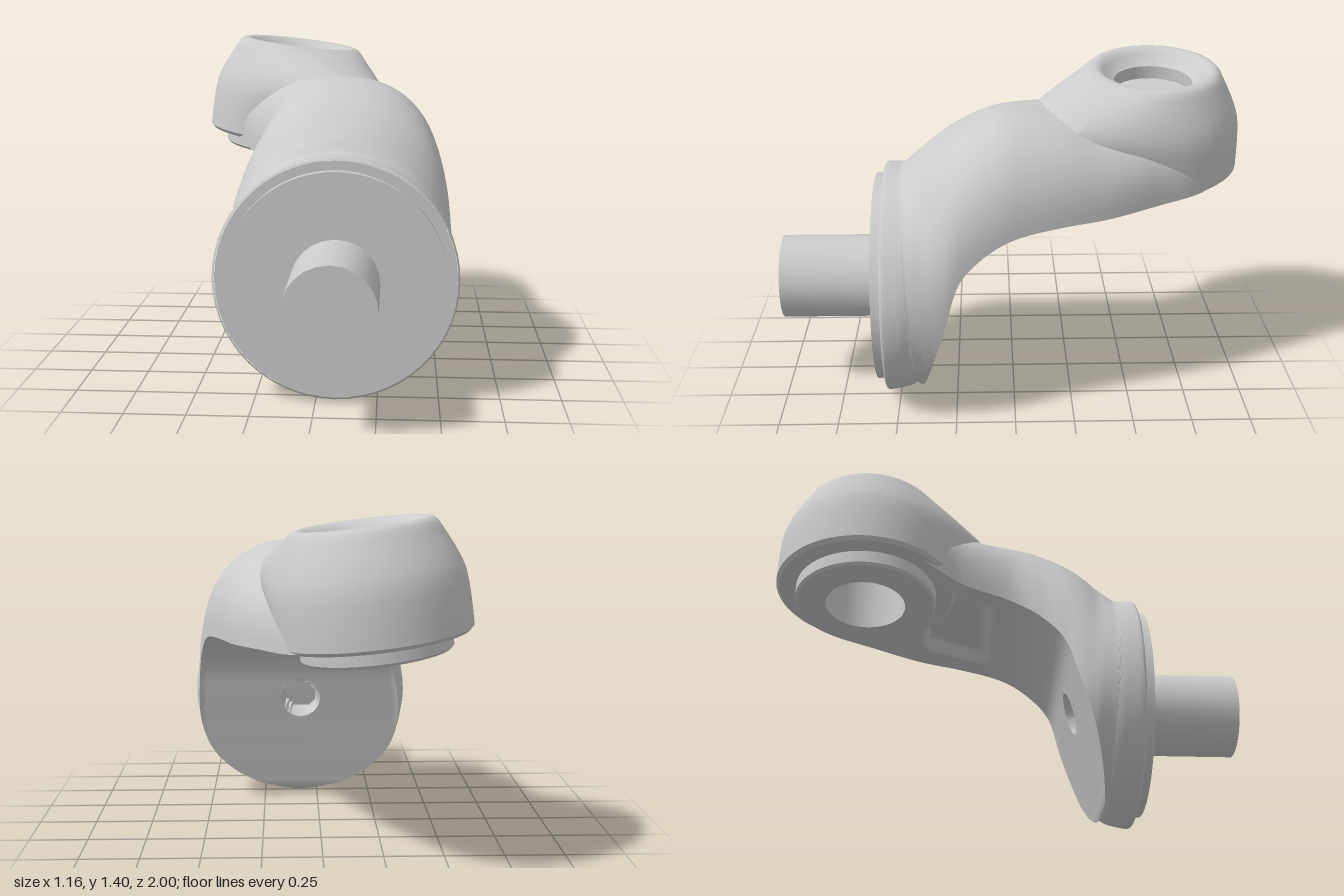
import * as THREE from 'three';
import { toCreasedNormals } from 'three/addons/utils/BufferGeometryUtils.js';

const material = new THREE.MeshStandardMaterial({ color: 0xcccccc });
const { smoothstep: smooth, clamp } = THREE.MathUtils;

function addMesh(parent, name, geometry, crease = 0.6) {
  const mesh = new THREE.Mesh(toCreasedNormals(geometry, crease), material);
  mesh.name = name;
  parent.add(mesh);
  return mesh;
}

// Arm sections: inner z, inner y, outer z, outer y, left x, right x,
// height of the widest point (fraction), sideways tilt
const SECTIONS = [
  [0.55, 0.01, 0.55, 0.99, -0.41, 0.57, 0.5, 0],
  [0.535, 0.0, 0.54, 1.0, -0.42, 0.577, 0.5, 0],
  [0.46, 0.015, 0.5, 1.0, -0.417, 0.575, 0.5, 0],
  [0.42, 0.035, 0.475, 1.0, -0.412, 0.57, 0.5, 0],
  [0.405, 0.06, 0.465, 1.005, -0.409, 0.567, 0.481, 0],
  [0.394, 0.1, 0.455, 1.01, -0.407, 0.566, 0.456, 0],
  [0.372, 0.18, 0.44, 1.025, -0.404, 0.564, 0.396, 0],
  [0.34, 0.3, 0.41, 1.055, -0.398, 0.56, 0.285, 0],
  [0.285, 0.5, 0.34, 1.11, -0.378, 0.552, 0.1, 0],
  [0.23, 0.67, 0.25, 1.175, -0.34, 0.54, 0.03, 0],
  [0.13, 0.79, 0.12, 1.25, -0.29, 0.52, 0, 0.03],
  [0.0, 0.87, 0.0, 1.28, -0.27, 0.49, 0, 0.05],
  [-0.2, 0.9, -0.2, 1.265, -0.34, 0.43, 0, 0.06],
  [-0.4, 0.935, -0.4, 1.24, -0.46, 0.355, 0, 0.12],
  [-0.6, 0.935, -0.6, 1.22, -0.47, 0.25, 0, 0.12],
  [-0.8, 0.935, -0.8, 1.18, -0.4, 0.135, 0, 0.12],
  [-0.93, 0.94, -0.93, 1.1, -0.3, -0.03, 0, 0.12],
];

// Smooth interpolation through the section table
function sectionAt(t) {
  const last = SECTIONS.length - 1;
  const i = Math.min(Math.floor(t), last - 1), f = t - i;
  const row = (n) => SECTIONS[clamp(n, 0, last)];
  const [a, b, c, d] = [row(i - 1), row(i), row(i + 1), row(i + 2)];
  return b.map((p, k) => {
    const m0 = (c[k] - a[k]) / 2, m1 = (d[k] - p) / 2;
    const f2 = f * f, f3 = f2 * f;
    return p * (2 * f3 - 3 * f2 + 1) + m0 * (f3 - 2 * f2 + f) + c[k] * (3 * f2 - 2 * f3) + m1 * (f3 - f2);
  });
}

// Screw hole in the inner face: nearby points snap to its rim, inner ones sink
function screwHole(x, y, z) {
  const R = 0.09, BAND = 0.012;
  const dx = x - 0.08, dy = y - 0.5, d = Math.hypot(dx, dy);
  if (d > R + BAND) return [x, y, z];
  if (d < R - BAND) return [x, y, z + 0.13];
  const s = R / d;
  return [0.08 + dx * s, 0.5 + dy * s, z - 0.28 * dy * (s - 1)];
}

// Elbow body: rounded arch outside, flat chord on the inner face
function armGeometry() {
  const ARCH = 56, CHORD = 60, STEPS = 13;
  const rows = (SECTIONS.length - 1) * STEPS;
  const ring = ARCH + CHORD;
  const positions = [], indices = [];
  for (let i = 0; i <= rows; i++) {
    const [zi, yi, zo, yo, xl, xr, fr, tilt] = sectionAt(i / STEPS);
    const mid = clamp(fr, 0, 0.5);
    const a0 = Math.asin(Math.min(1, mid / (1 - mid)));
    // sections grow squarer from the flange to the head
    const power = 0.86 + 0.14 * smooth(mid, 0, 0.3) - 0.14 * smooth(-zi, 0, 0.45);
    const xc = (xl + xr) / 2, half = (xr - xl) / 2;
    for (let j = 0; j < ring; j++) {
      const u = (j - ARCH) / CHORD;
      let x = xc + half * Math.cos(a0) * (2 * u - 1), v = 0;
      if (j <= ARCH) {
        const a = -a0 + (Math.PI + 2 * a0) * (j / ARCH);
        const c = Math.cos(a), s = Math.sin(a);
        x = xc + half * Math.sign(c) * Math.abs(c) ** power;
        v = mid + (1 - mid) * Math.sign(s) * Math.abs(s) ** power;
      }
      let y = yi + (yo - yi) * v - tilt * (x + 0.2);
      let z = zi + (zo - zi) * v;
      if (u > 0) {
        if (z > 0.15) [x, y, z] = screwHole(x, y, z);
        // shallow pocket under the arm
        const along = smooth(-z, 0.06, 0.1) * (1 - smooth(-z, 0.33, 0.37));
        y += 0.05 * along * smooth(u, 0.14, 0.19) * (1 - smooth(u, 0.8, 0.85));
        // clearance for the bore of the head
        if (Math.hypot(x + 0.2, z + 0.6) < 0.24) y = Math.max(y, 1.17);
      }
      positions.push(x, y, z);
    }
  }
  for (let i = 0; i < rows; i++) {
    for (let j = 0; j < ring; j++) {
      const k = (j + 1) % ring;
      const a = i * ring + j, b = i * ring + k;
      indices.push(a, a + ring, b, b, a + ring, b + ring);
    }
  }
  const geometry = new THREE.BufferGeometry();
  geometry.setAttribute('position', new THREE.Float32BufferAttribute(positions, 3));
  geometry.setIndex(indices);
  return geometry;
}

const lathe = (points) => new THREE.LatheGeometry(points.map(([r, y]) => new THREE.Vector2(r, y)), 72);

// Socket head: a turned shape whose shoulder is drawn out toward the arm
function headGeometry() {
  const geometry = lathe([
    [0, 0.24], [0.17, 0.24], [0.17, 0], [0.37, 0], [0.385, 0.015], [0.385, 0.06], [0.384, 0.12],
    [0.381, 0.18], [0.375, 0.23], [0.363, 0.27], [0.344, 0.315], [0.322, 0.36], [0.301, 0.4],
    [0.288, 0.425], [0.275, 0.438], [0.255, 0.444], [0.235, 0.438], [0.215, 0.42], [0.19, 0.39],
    [0.17, 0.378], [0.17, 0.32], [0, 0.32],
  ]);
  const p = geometry.attributes.position;
  for (let i = 0; i < p.count; i++) {
    const x = p.getX(i), y = p.getY(i), z = p.getZ(i), r = Math.hypot(x, z);
    if (r < 0.26) continue;
    const toward = Math.max(0, (0.5 * x + 0.87 * z) / r);
    const slope = clamp((0.44 - y) / 0.11, 0, 1) * smooth(y, 0.02, 0.3);
    const shift = 0.28 * slope * toward ** 2;
    p.setXYZ(i, x + 0.5 * shift, y, z + 0.87 * shift);
  }
  return geometry;
}

// Cylinder lying along z
function zCylinder(radius, z0, z1, sides) {
  return new THREE.CylinderGeometry(radius, radius, z1 - z0, sides)
    .rotateX(Math.PI / 2)
    .translate(0.08, 0.5, (z0 + z1) / 2);
}

export function createModel() {
  const model = new THREE.Group();
  model.name = 'elbowBracket';

  // Mounting flange and stem
  addMesh(model, 'flangeFace', zCylinder(0.488, 0.535, 0.55, 72));
  addMesh(model, 'mountingPlate', zCylinder(0.45, 0.54, 0.59, 72));
  addMesh(model, 'stem', zCylinder(0.18, 0.58, 1, 24), 0.3);

  addMesh(model, 'arm', armGeometry());

  // Tilted head with its ring underneath
  const head = new THREE.Group();
  head.name = 'head';
  head.position.set(-0.2, 0.93, -0.612);
  head.rotation.z = -0.12;
  addMesh(head, 'socketHead', headGeometry());
  addMesh(head, 'lowerRing', lathe([
    [0.17, 0.03], [0.17, -0.065], [0.29, -0.065], [0.3, -0.055], [0.3, 0.03],
  ]));
  model.add(head);
  return model;
}
